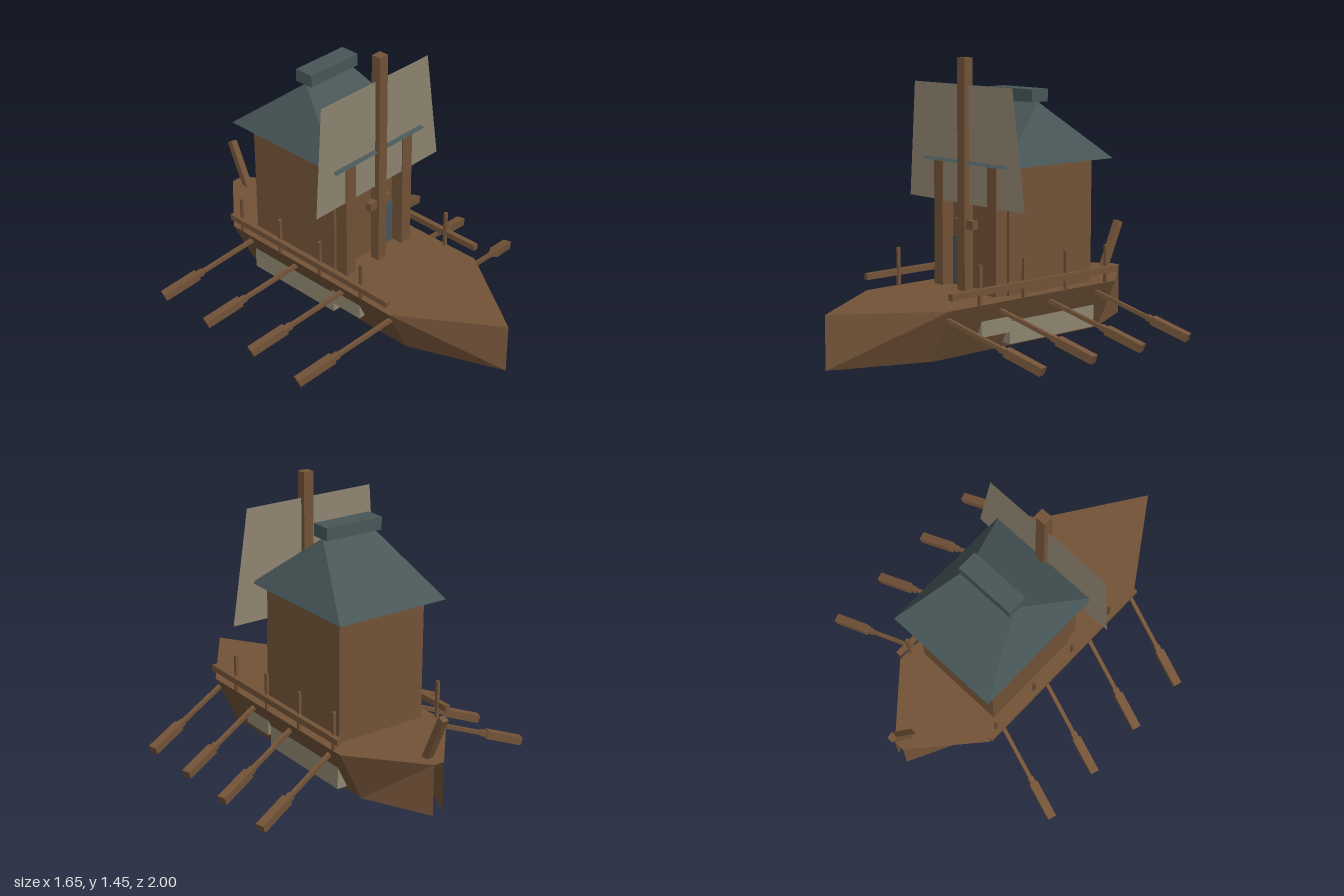
import * as THREE from 'three';

const make = (name, color, side = THREE.DoubleSide) => {
  const m = new THREE.MeshStandardMaterial({ color, side });
  m.name = name;
  return m;
};

export function createModel() {
  const wood = make('wood', 0x735338);
  const slate = make('slate', 0x485658);
  const canvas = make('canvas', 0x8f8570);
  const model = new THREE.Group();
  model.name = 'rowingShip';

  const add = (name, geometry, material, parent = model) => {
    const mesh = new THREE.Mesh(geometry, material);
    mesh.name = name;
    parent.add(mesh);
    return mesh;
  };
  // Box given by its minimum and maximum corners
  const box = (name, material, [x0, y0, z0], [x1, y1, z1]) => {
    const g = new THREE.BoxGeometry(x1 - x0, y1 - y0, z1 - z0);
    g.translate((x0 + x1) / 2, (y0 + y1) / 2, (z0 + z1) / 2);
    return add(name, g, material);
  };
  // Flat-sided surface from corner points and triangles
  const facets = (name, material, points, triangles) => {
    const g = new THREE.BufferGeometry();
    g.setAttribute('position', new THREE.Float32BufferAttribute(
      triangles.flat().flatMap((i) => points[i]), 3));
    g.computeVertexNormals();
    return add(name, g, material);
  };
  // Square bar running between two points
  const bar = (name, a, b, height, width, parent) => {
    const from = new THREE.Vector3(...a), to = new THREE.Vector3(...b);
    const dir = to.clone().sub(from);
    const mesh = add(name, new THREE.BoxGeometry(dir.length(), height, width), wood, parent);
    mesh.position.copy(from).add(to).multiplyScalar(0.5);
    const x = dir.normalize();
    const z = new THREE.Vector3().crossVectors(x, new THREE.Vector3(0, 1, 0)).normalize();
    const y = new THREE.Vector3().crossVectors(z, x);
    mesh.quaternion.setFromRotationMatrix(new THREE.Matrix4().makeBasis(x, y, z));
    return mesh;
  };

  // Hull sides, open below and at the narrow stern
  const top = 0.27;
  for (const s of [1, -1]) {
    const points = [
      [0, 0, 1], [0, top, 1],
      [s * 0.2, 0, 0.51], [s * 0.33, top, 0.51],
      [s * 0.2, 0, -0.62], [s * 0.33, top, -0.62],
      [s * 0.03, 0, -0.96], [s * 0.03, top, -0.96],
    ];
    const triangles = [[0, 3, 1], [0, 2, 3], [2, 4, 5], [2, 5, 3], [4, 6, 7], [4, 7, 5]];
    facets(s > 0 ? 'leftHullSide' : 'rightHullSide', wood, points,
      triangles.map(([a, b, c]) => (s > 0 ? [a, b, c] : [a, c, b])));
  }

  // Deck
  const outline = new THREE.Shape([
    [0, -1], [0.33, -0.51], [0.33, 0.62], [0.03, 0.96],
    [-0.03, 0.96], [-0.33, 0.62], [-0.33, -0.51],
  ].map(([x, y]) => new THREE.Vector2(x, y)));
  const deck = new THREE.ShapeGeometry(outline);
  deck.rotateX(-Math.PI / 2);
  deck.translate(0, top, 0);
  add('deck', deck, wood);

  // Pale cargo holds showing through the hull sides
  box('mainHold', canvas, [-0.27, 0.028, -0.52], [0.27, 0.2, 0.07]);
  box('forwardHold', canvas, [-0.285, 0.095, 0.07], [0.285, 0.21, 0.27]);

  // Cabin, porch pillars and narrow front windows
  box('cabin', wood, [-0.255, top, -0.51], [0.255, 0.918, 0.065]);
  for (const s of [1, -1]) {
    const span = (a, b) => [Math.min(s * a, s * b), Math.max(s * a, s * b)];
    const [p0, p1] = span(0.172, 0.24);
    box('porchPillar', wood, [p0, top, 0.065], [p1, 0.918, 0.138]);
    const [w0, w1] = span(0.12, 0.17);
    box('window', slate, [w0, top, 0.065], [w1, 0.53, 0.073]);
  }

  // Hipped roof with a ridge cap
  const ridge = 0.15, zr = -0.225;
  facets('roof', slate, [
    [-0.32, 0.918, 0.15], [0.32, 0.918, 0.15], [0.32, 0.918, -0.6], [-0.32, 0.918, -0.6],
    [-ridge, 1.22, zr], [ridge, 1.22, zr],
  ], [[0, 1, 5], [0, 5, 4], [1, 2, 5], [2, 3, 4], [2, 4, 5], [3, 0, 4], [0, 3, 2], [0, 2, 1]]);
  box('ridgeCap', slate, [-0.165, 1.22, -0.28], [0.165, 1.285, -0.172]);

  // Mast, crosspiece and skewed sail
  box('mast', wood, [-0.028, top, 0.106], [0.028, 1.45, 0.16]);
  box('mastCrosspiece', wood, [-0.077, 0.59, 0.115], [0.077, 0.635, 0.15]);
  facets('sail', canvas, [
    [-0.445, 0.715, 0.132], [0.443, 0.715, 0.132], [0.352, 1.315, 0.132], [-0.402, 1.315, 0.132],
  ], [[0, 1, 2], [0, 2, 3]]);

  // Tilted stern post
  bar('sternPost', [0, 0.26, -0.868], [0, 0.51, -0.982], 0.037, 0.037);

  for (const s of [1, -1]) {
    // Side rail and its posts
    const x = s * 0.335;
    box('sideRail', wood, [x - 0.014, 0.323, -0.62], [x + 0.014, 0.355, 0.51]);
    for (const z of [0.312, 0.023, -0.266, -0.555]) {
      const px = s * 0.321;
      box('railPost', wood, [px - 0.008, top, z - 0.008], [px + 0.008, 0.47, z + 0.008]);
    }
    // Four oars with heavy blades, sweeping backward and down
    for (let i = 0; i < 4; i++) {
      const oar = new THREE.Group();
      oar.name = 'oar';
      oar.position.z = -0.335 * i;
      model.add(oar);
      const at = (t) => [s * (0.31 + 0.5 * t), 0.222 - 0.177 * t, 0.502 - 0.15 * t];
      bar('oarShaft', at(-0.06), at(0.64), 0.02, 0.02, oar);
      bar('oarCollar', at(0.56), at(0.64), 0.028, 0.03, oar);
      bar('oarBlade', at(0.62), at(1), 0.042, 0.046, oar);
    }
  }
  return model;
}
